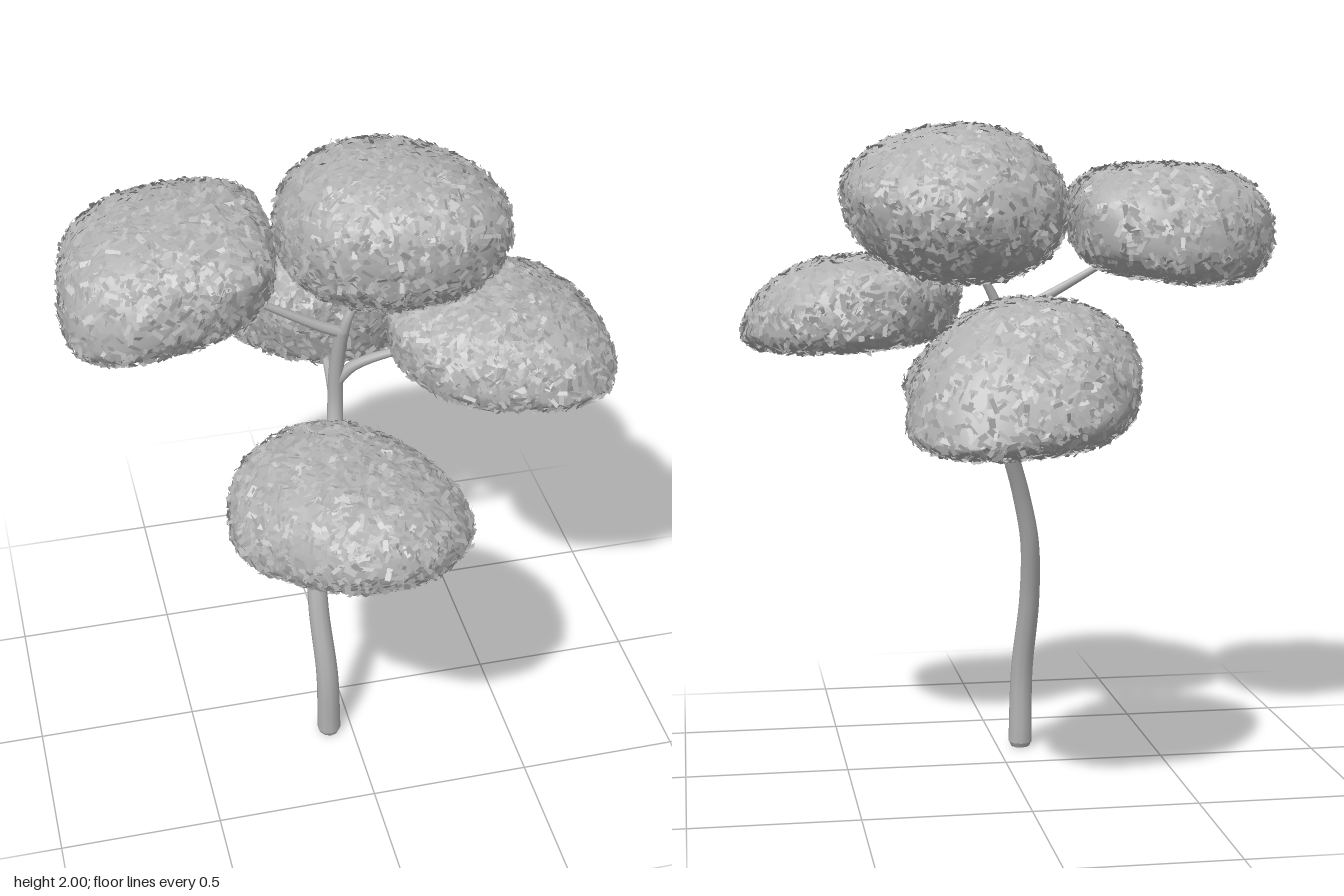
import * as THREE from 'three';
import { ParametricGeometry } from 'three/addons/geometries/ParametricGeometry.js';

const bark = new THREE.MeshStandardMaterial({ color: 0xb4b4b4 });
bark.name = 'bark grey';
const leaf = new THREE.MeshStandardMaterial({ color: 0xb2b2b2, side: THREE.DoubleSide });
leaf.name = 'leaf grey';

const V = (x, y, z) => new THREE.Vector3(x, y, z);

// Small seeded random generator
let seed = 7;
function rand() {
  seed = (seed * 1664525 + 1013904223) % 4294967296;
  return seed / 4294967296;
}

// Smooth periodic interpolation of values spaced evenly around a circle
function around(values, angle) {
  const n = values.length;
  const f = ((angle / (Math.PI * 2)) % 1 + 1) % 1 * n;
  const i = Math.floor(f), t = f - i;
  const at = k => values[(k + n) % n];
  const [a, b, c, d] = [at(i - 1), at(i), at(i + 1), at(i + 2)];
  return b + 0.5 * t * (c - a + t * (2 * a - 5 * b + 4 * c - d + t * (3 * (b - c) + d - a)));
}

// Tapered limb along a smooth path
function limb(name, points, r0, r1, sides = 8, steps = 24) {
  const curve = new THREE.CatmullRomCurve3(points.map(p => V(...p)));
  const geo = new THREE.TubeGeometry(curve, steps, 1, sides, false);
  const pos = geo.attributes.position, p = V(0, 0, 0);
  for (let i = 0; i <= steps; i++) {
    const c = curve.getPointAt(i / steps);
    const r = r0 + (r1 - r0) * i / steps;
    for (let j = 0; j <= sides; j++) {
      const k = i * (sides + 1) + j;
      p.fromBufferAttribute(pos, k).sub(c).multiplyScalar(r).add(c);
      pos.setXYZ(k, p.x, p.y, p.z);
    }
  }
  const mesh = new THREE.Mesh(geo, bark);
  mesh.name = name;
  return mesh;
}

// Dome over a flatter, tilted underside with a dimple. Lists run round from +x
// towards +z: radii and rim heights by eighths, dome fullness by quarters.
function clumpSurface({ centre, apex, radii, rims, dome, under, top, bottom, tilt, dimple }) {
  return (u, v, out) => {
    const a = u * Math.PI * 2, s = v * Math.PI;
    const R = around(radii, a) - 0.013, rim = around(rims, a);
    const sn = Math.max(0, Math.sin(s)), cs = Math.cos(s);
    const upper = cs > 0;
    const p = upper ? around(dome, a) : under;
    const r = R * Math.pow(sn, p), lift = Math.pow(Math.abs(cs), p);
    const x = r * Math.cos(a), z = r * Math.sin(a);
    const shift = upper ? lift : 0;
    const y = upper ? rim + (top - rim) * lift
      : rim + (bottom + tilt[0] * x + tilt[1] * z - rim) * lift + dimple * Math.pow(1 - r / R, 2);
    return out.set(centre[0] + apex[0] * shift + x, y, centre[1] + apex[1] * shift + z);
  };
}

// Thousands of little leaf cards spread evenly, lying roughly along the clump
function leafCards(surface, count) {
  const pos = [], index = [];
  const c = V(0, 0, 0), cu = V(0, 0, 0), cv = V(0, 0, 0), step = 0.003;
  const jitter = () => V(rand() - 0.5, rand() - 0.5, rand() - 0.5);
  while (index.length < count * 6) {
    const u = rand(), v = 0.005 + 0.987 * rand();
    surface(u, v, c);
    surface(u + step, v, cu).sub(c);
    surface(u, v + step, cv).sub(c);
    const n = cu.clone().cross(cv);
    if (rand() * 1.2 > n.length() / (step * step)) continue;
    n.normalize();
    const normal = n.clone().addScaledVector(jitter(), 0.9).normalize();
    const side = jitter().cross(normal).normalize();
    const along = normal.clone().cross(side);
    const w = 0.005 + 0.004 * rand(), l = 0.013 + 0.009 * rand();
    const mid = c.clone().addScaledVector(n, 0.01 * rand());
    const k = pos.length / 3;
    for (const [x, y] of [[-1, -1], [1, -1], [1, 1], [-1, 1]]) {
      const q = mid.clone().addScaledVector(side, x * w).addScaledVector(along, y * l);
      pos.push(q.x, q.y, q.z);
    }
    index.push(k, k + 1, k + 2, k, k + 2, k + 3);
  }
  const geo = new THREE.BufferGeometry();
  geo.setAttribute('position', new THREE.Float32BufferAttribute(pos, 3));
  geo.setIndex(index);
  geo.computeVertexNormals();
  return geo;
}

const clumps = [
  { name: 'leftSideClump', centre: [-0.5, -0.08], apex: [0.02, 0], top: 1.87, bottom: 1.52,
    radii: [0.32, 0.35, 0.33, 0.38, 0.31, 0.33, 0.36, 0.39],
    rims: [1.7, 1.72, 1.67, 1.62, 1.67, 1.66, 1.62, 1.67],
    dome: [0.68, 0.8, 0.8, 0.85], under: 0.75, tilt: [0.08, 0.05], dimple: 0.06 },
  { name: 'topClump', centre: [0.17, -0.07], apex: [-0.03, 0.04], top: 1.985, bottom: 1.53,
    radii: [0.335, 0.38, 0.33, 0.34, 0.34, 0.36, 0.33, 0.32],
    rims: [1.8, 1.78, 1.74, 1.73, 1.72, 1.71, 1.74, 1.77],
    dome: [1.05, 0.8, 0.95, 0.9], under: 0.95, tilt: [0, 0.1], dimple: 0 },
  { name: 'rightSideClump', centre: [0.47, 0.1], apex: [-0.03, -0.03], top: 1.59, bottom: 1.31,
    radii: [0.335, 0.36, 0.3, 0.32, 0.34, 0.32, 0.32, 0.34],
    rims: [1.36, 1.36, 1.38, 1.42, 1.45, 1.42, 1.38, 1.37],
    dome: [0.92, 0.8, 0.75, 0.8], under: 0.75, tilt: [-0.03, 0], dimple: 0.05 },
  { name: 'backClump', centre: [0.03, -0.56], apex: [-0.03, 0.1], top: 1.49, bottom: 1.09,
    radii: [0.345, 0.34, 0.32, 0.31, 0.33, 0.31, 0.3, 0.36],
    rims: [1.15, 1.17, 1.19, 1.25, 1.27, 1.2, 1.15, 1.12],
    dome: [0.95, 0.75, 0.9, 0.92], under: 0.8, tilt: [0, 0.08], dimple: 0.03 },
  { name: 'frontClump', centre: [-0.08, 0.5], apex: [-0.03, -0.03], top: 1.33, bottom: 1.03,
    radii: [0.34, 0.36, 0.34, 0.3, 0.345, 0.37, 0.33, 0.31],
    rims: [1.13, 1.18, 1.2, 1.14, 1.11, 1.12, 1.15, 1.14],
    dome: [1.02, 0.75, 1, 0.75], under: 0.85, tilt: [0, 0.06], dimple: 0.05 },
];

export function createModel() {
  const model = new THREE.Group();
  model.name = 'tree';

  // Trunk with a closed, slightly rounded foot
  model.add(limb('trunk', [[-0.075, 0.015, 0.185], [-0.08, 0.25, 0.182], [-0.095, 0.5, 0.125],
    [-0.085, 0.7, 0.065], [-0.05, 0.86, 0.025], [-0.01, 1, -0.02], [0.005, 1.13, -0.065],
    [0.008, 1.26, -0.065], [0.02, 1.42, -0.04]], 0.038, 0.021, 10, 40));
  const foot = new THREE.Mesh(new THREE.CylinderGeometry(0.038, 0.03, 0.016, 10), bark);
  foot.name = 'trunkFoot';
  foot.position.set(-0.075, 0.008, 0.185);
  model.add(foot);

  // Branches, each reaching into its clump
  const branches = {
    frontBranch: [[-0.015, 0.94, -0.005], [-0.02, 0.985, 0.05], [-0.04, 1.04, 0.18], [-0.07, 1.12, 0.4]],
    backBranch: [[0.005, 1.11, -0.06], [0.01, 1.14, -0.11], [0.02, 1.17, -0.24], [0.03, 1.2, -0.45]],
    rightSideBranch: [[0.008, 1.22, -0.065], [0.06, 1.28, -0.05], [0.2, 1.35, 0], [0.4, 1.42, 0.08]],
    leftSideBranch: [[0.02, 1.41, -0.045], [-0.04, 1.435, -0.05], [-0.16, 1.5, -0.06], [-0.4, 1.64, -0.08]],
    topBranch: [[0.02, 1.38, -0.045], [0.035, 1.45, -0.04], [0.08, 1.54, -0.05], [0.14, 1.66, -0.06]],
  };
  for (const [name, path] of Object.entries(branches)) model.add(limb(name, path, 0.019, 0.006));

  // Foliage: a solid core under a coat of leaf cards
  for (const spec of clumps) {
    const group = new THREE.Group();
    group.name = spec.name;
    const surface = clumpSurface(spec);
    const core = new THREE.Mesh(new ParametricGeometry(surface, 40, 24), leaf);
    core.name = spec.name + 'Core';
    const leaves = new THREE.Mesh(leafCards(surface, 4000), leaf);
    leaves.name = spec.name + 'Leaves';
    group.add(core, leaves);
    model.add(group);
  }
  return model;
}
